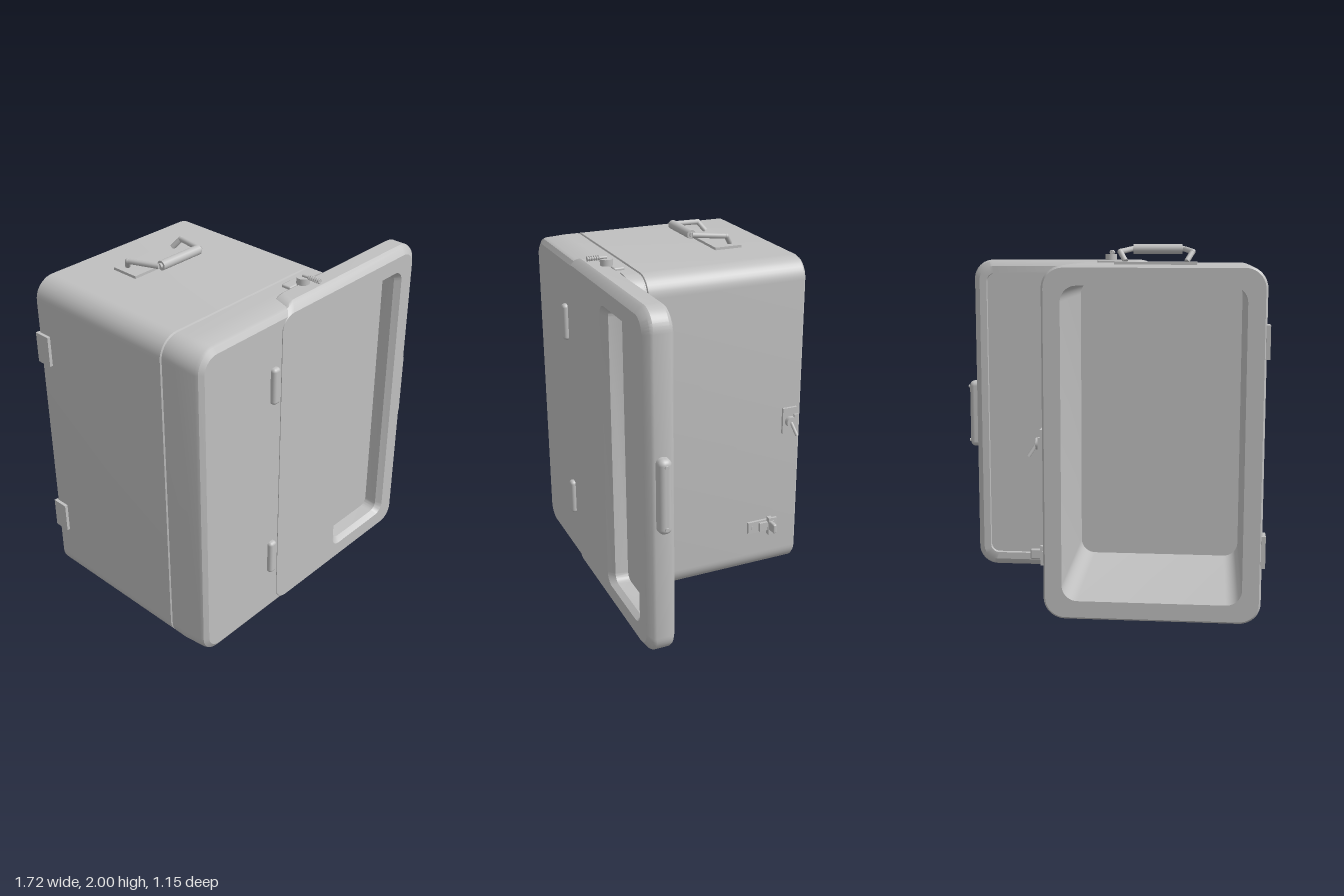
import * as THREE from 'three';
import { toCreasedNormals } from 'three/addons/utils/BufferGeometryUtils.js';
import { RoundedBoxGeometry } from 'three/addons/geometries/RoundedBoxGeometry.js';

const grey = new THREE.MeshStandardMaterial({ color: 0xc0c0c0 });
grey.name = 'grey';

function add(parent, name, geometry, x = 0, y = 0, z = 0) {
  const mesh = new THREE.Mesh(geometry, grey);
  mesh.name = name;
  mesh.position.set(x, y, z);
  parent.add(mesh);
  return mesh;
}

// Box given by its limits on each axis, optionally rounded
function block(parent, name, [x0, x1], [y0, y1], [z0, z1], r = 0) {
  const s = [x1 - x0, y1 - y0, z1 - z0];
  const g = r ? new RoundedBoxGeometry(...s, 3, r) : new THREE.BoxGeometry(...s);
  return add(parent, name, g, (x0 + x1) / 2, (y0 + y1) / 2, (z0 + z1) / 2);
}

// Straight rod between two points
function rod(parent, name, a, b, r, sides = 12) {
  const p = new THREE.Vector3(...a), q = new THREE.Vector3(...b);
  const d = q.clone().sub(p);
  const mesh = add(parent, name, new THREE.CylinderGeometry(r, r, d.length(), sides));
  mesh.position.copy(p).add(q).multiplyScalar(0.5);
  mesh.quaternion.setFromUnitVectors(new THREE.Vector3(0, 1, 0), d.normalize());
  return mesh;
}

// Skin over rounded rectangles [x0, x1, halfHeight, radius, z] centred on y = 1,
// with the first and last rings closed
function shell(rings) {
  const seg = 10, n = 4 * (seg + 1), pos = [], idx = [];
  for (const [x0, x1, h, r, z] of rings) {
    for (let c = 0; c < 4; c++) {
      const cx = c === 0 || c === 3 ? x1 - r : x0 + r;
      const cy = c < 2 ? 1 + h - r : 1 - h + r;
      for (let s = 0; s <= seg; s++) {
        const a = (c + s / seg) * Math.PI / 2;
        pos.push(cx + r * Math.cos(a), cy + r * Math.sin(a), z);
      }
    }
  }
  const first = rings[0], last = rings[rings.length - 1], end = (rings.length - 1) * n;
  const c0 = rings.length * n, c1 = c0 + 1;
  for (const e of [first, last]) pos.push((e[0] + e[1]) / 2, 1, e[4]);
  for (let i = 0; i < n; i++) {
    const j = (i + 1) % n;
    for (let k = 0; k < end; k += n) idx.push(k + i, k + j, k + n + j, k + i, k + n + j, k + n + i);
    idx.push(c0, j, i, c1, end + i, end + j);
  }
  const g = new THREE.BufferGeometry();
  g.setAttribute('position', new THREE.Float32BufferAttribute(pos, 3));
  g.setIndex(idx);
  return toCreasedNormals(g, 0.5);
}

// Folding carry handle on its plate, made for the top
function carryHandle(name) {
  const g = new THREE.Group();
  g.name = name;
  block(g, 'handlePlate', [-0.5, -0.085], [1.895, 1.912], [-0.37, -0.215]);
  const mid = -0.293;
  for (const s of [-1, 1]) {
    const foot = [mid + s * 0.155, 1.915, -0.325];
    const knee = [mid + s * 0.183, 1.962, -0.29];
    const tip = [mid + s * 0.14, 1.975, -0.112];
    rod(g, 'handleFoot', foot, knee, 0.014);
    rod(g, 'handleArm', knee, tip, 0.014);
    add(g, 'handleKnee', new THREE.SphereGeometry(0.015, 12, 8), ...knee);
    rod(g, 'handleEnd', tip, [mid + s * 0.12, 1.975, -0.112], 0.014);
  }
  rod(g, 'handleGrip', [mid - 0.128, 1.975, -0.112], [mid + 0.128, 1.975, -0.112], 0.025, 16);
  return g;
}

export function createModel() {
  const model = new THREE.Group();

  // Hollow case, open at the back, closed by a bevelled front
  add(model, 'caseBody', shell([
    [-0.75, 0.165, 0.8, 0.08, 0.33],
    [-0.75, 0.165, 0.8, 0.08, -0.575],
    [-0.835, 0.25, 0.887, 0.1, -0.575],
    [-0.845, 0.26, 0.898, 0.11, -0.563],
    [-0.845, 0.26, 0.898, 0.11, 0.31],
    [-0.837, 0.252, 0.89, 0.102, 0.314],
    [-0.837, 0.252, 0.89, 0.102, 0.32],
    [-0.845, 0.26, 0.898, 0.11, 0.324],
    [-0.845, 0.26, 0.898, 0.11, 0.402],
    [-0.845, 0.2, 0.898, 0.11, 0.402],
    [-0.832, 0.2, 0.895, 0.11, 0.515],
    [-0.825, 0.2, 0.887, 0.1, 0.53],
    [-0.8, 0.2, 0.862, 0.08, 0.546],
  ]));

  // Sliding door with a shallow recess behind and a deep one in front
  add(model, 'slidingDoor', shell([
    [0, 0.725, 0.835, 0.05, 0.43],
    [0, 0.725, 0.835, 0.05, 0.4],
    [-0.18, 0.765, 0.875, 0.08, 0.4],
    [-0.23, 0.79, 0.902, 0.1, 0.415],
    [-0.25, 0.798, 0.912, 0.11, 0.43],
    [-0.27, 0.798, 0.912, 0.11, 0.51],
    [-0.28, 0.79, 0.902, 0.1, 0.525],
    [-0.28, 0.755, 0.87, 0.08, 0.55],
    [0.205, 0.67, 0.787, 0.06, 0.55],
    [0.245, 0.645, 0.768, 0.045, 0.52],
    [0.25, 0.643, 0.766, 0.045, 0.45],
  ]));

  // Paired hinge tabs at the back edge and raised bars on the front
  for (const y of [0.48, 1.53]) {
    block(model, 'hingeTab', [-0.862, -0.84], [y - 0.083, y + 0.083], [-0.577, -0.487]);
    block(model, 'frontBar', [-0.357, -0.307], [y - 0.1, y + 0.1], [0.53, 0.572], 0.018);
  }

  // Carry handles, above and below
  model.add(carryHandle('topHandle'));
  const bottom = carryHandle('bottomHandle');
  bottom.rotation.z = Math.PI;
  bottom.position.set(-0.586, 2, 0);
  model.add(bottom);

  // Pull grip on the edge of the door
  block(model, 'doorGrip', [0.768, 0.848], [0.805, 1.2], [0.437, 0.507], 0.03);
  for (const y of [0.84, 1.165]) rod(model, 'gripScrew', [0.835, y, 0.472], [0.856, y, 0.472], 0.01);

  // Lock with turning lever on the side
  const lock = new THREE.Group();
  lock.name = 'sideLock';
  block(lock, 'lockPlate', [0.255, 0.275], [0.932, 1.08], [-0.545, -0.46]);
  block(lock, 'lockCatch', [0.255, 0.285], [0.97, 1.04], [-0.55, -0.525]);
  rod(lock, 'lockBoss', [0.27, 1.003, -0.503], [0.3, 1.003, -0.503], 0.03, 20);
  rod(lock, 'lockLever', [0.295, 1.003, -0.5], [0.338, 0.938, -0.515], 0.009);
  model.add(lock);

  // Lower bolt with upright tab
  const bolt = new THREE.Group();
  bolt.name = 'sideBolt';
  block(bolt, 'boltPlate', [0.255, 0.275], [0.35, 0.42], [-0.445, -0.265]);
  block(bolt, 'boltBlock', [0.27, 0.29], [0.36, 0.41], [-0.42, -0.33]);
  block(bolt, 'boltCollar', [0.27, 0.3], [0.333, 0.437], [-0.405, -0.38]);
  block(bolt, 'boltTab', [0.28, 0.352], [0.365, 0.42], [-0.405, -0.383], 0.008);
  for (const z of [-0.29, -0.43]) rod(bolt, 'boltScrew', [0.27, 0.385, z], [0.279, 0.385, z], 0.009);
  model.add(bolt);

  // Clamp knob on top of the door, with a ribbed screw pointing forward
  const clamp = new THREE.Group();
  clamp.name = 'topClamp';
  block(clamp, 'clampPlate', [-0.08, 0.075], [1.89, 1.912], [0.362, 0.42], 0.008);
  rod(clamp, 'clampKnob', [0, 1.905, 0.432], [0, 1.945, 0.432], 0.033, 24);
  rod(clamp, 'clampScrew', [0, 1.952, 0.43], [0, 1.955, 0.535], 0.007);
  for (let i = 0; i < 6; i++) {
    add(clamp, 'screwRib', new THREE.TorusGeometry(0.01, 0.004, 6, 14), 0, 1.954, 0.472 + i * 0.012);
  }
  model.add(clamp);

  return model;
}
